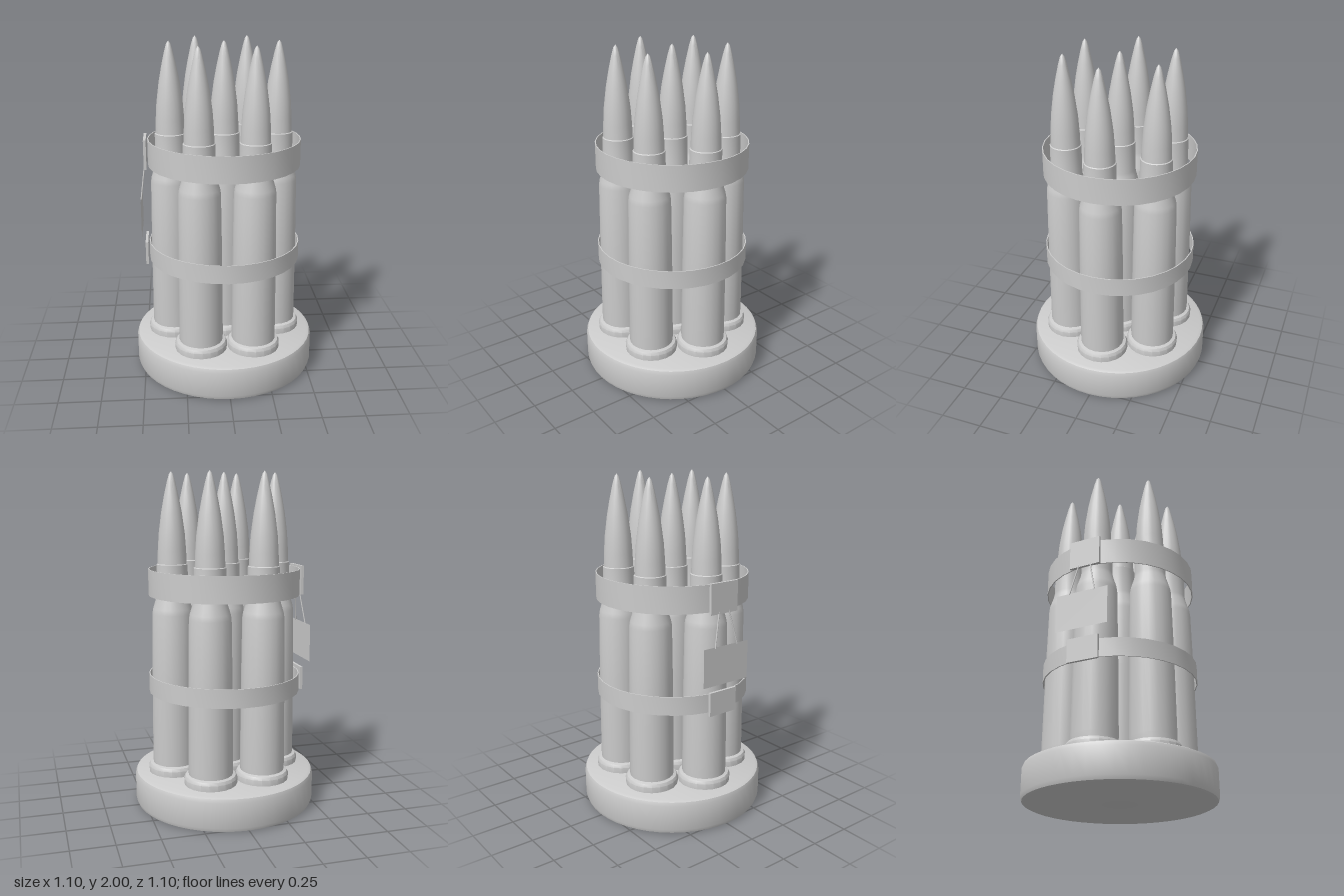
import * as THREE from 'three';
import { toCreasedNormals } from 'three/addons/utils/BufferGeometryUtils.js';

const solid = new THREE.MeshStandardMaterial({ color: 0xcccccc });
const thin = new THREE.MeshStandardMaterial({ color: 0xcccccc, side: THREE.DoubleSide });

// Turned part from [radius, height] pairs, listed bottom to top
function turned(name, profile, sides) {
  const points = profile.map(([r, y]) => new THREE.Vector2(r, y));
  const geometry = toCreasedNormals(new THREE.LatheGeometry(points, sides), 0.6);
  const mesh = new THREE.Mesh(geometry, solid);
  mesh.name = name;
  return mesh;
}

function box(name, size, position) {
  const mesh = new THREE.Mesh(new THREE.BoxGeometry(...size), solid);
  mesh.name = name;
  mesh.position.set(...position);
  return mesh;
}

// One cartridge: rimmed case with shoulder and neck, plus pointed bullet
function createRound() {
  const round = new THREE.Group();
  round.add(
    turned('case', [
      [0, 0.2], [0.155, 0.2], [0.157, 0.245], [0.148, 0.262], [0.13, 0.268],
      [0.131, 0.3], [0.127, 0.8], [0.121, 1.18], [0.116, 1.21],
      [0.096, 1.275], [0.092, 1.3], [0.091, 1.47], [0.084, 1.475],
    ], 20),
    turned('bullet', [
      [0.086, 1.46], [0.083, 1.55], [0.076, 1.65], [0.06, 1.77],
      [0.043, 1.86], [0.025, 1.94], [0.012, 1.985], [0, 2],
    ], 20),
  );
  return round;
}

// Strap around the bundle, with its clasp on the -x side
function createBand(name, y, height, radius, claspHeight) {
  const band = new THREE.Group();
  band.name = name;
  const t = 0.006;
  const strap = turned('strap', [
    [radius - t, -height / 2], [radius, -height / 2], [radius, height / 2],
    [radius - t, height / 2], [radius - t, -height / 2],
  ], 32);
  strap.position.y = y;
  band.add(strap, box('clasp', [0.016, claspHeight, 0.19], [-radius - 0.014, y, 0]));
  return band;
}

export function createModel() {
  const model = new THREE.Group();

  // Round base with softened edges
  model.add(turned('base', [
    [0, 0], [0.525, 0], [0.542, 0.008], [0.55, 0.03],
    [0.55, 0.18], [0.542, 0.202], [0.525, 0.21], [0, 0.21],
  ], 48));

  // One round in the middle, six around it
  for (let i = 0; i < 7; i++) {
    const round = createRound();
    round.name = i === 0 ? 'centreRound' : `outerRound${i}`;
    const angle = (i * Math.PI) / 3;
    if (i > 0) round.position.set(0.315 * Math.cos(angle), 0, 0.315 * Math.sin(angle));
    model.add(round);
  }

  model.add(
    createBand('upperBand', 1.362, 0.155, 0.451, 0.175),
    createBand('lowerBand', 0.755, 0.11, 0.456, 0.14),
  );

  // Hanging label on two short strings
  const tag = new THREE.Mesh(new THREE.PlaneGeometry(0.32, 0.225), thin);
  tag.name = 'tag';
  tag.rotation.y = -Math.PI / 2;
  tag.position.set(-0.495, 0.985, 0);
  model.add(tag);
  for (const side of [-1, 1]) {
    const path = new THREE.LineCurve3(
      new THREE.Vector3(-0.47, 1.29, 0.035 * side),
      new THREE.Vector3(-0.495, 1.09, 0.08 * side),
    );
    const string = new THREE.Mesh(new THREE.TubeGeometry(path, 1, 0.004, 6), solid);
    string.name = 'tagString';
    model.add(string);
  }

  return model;
}
